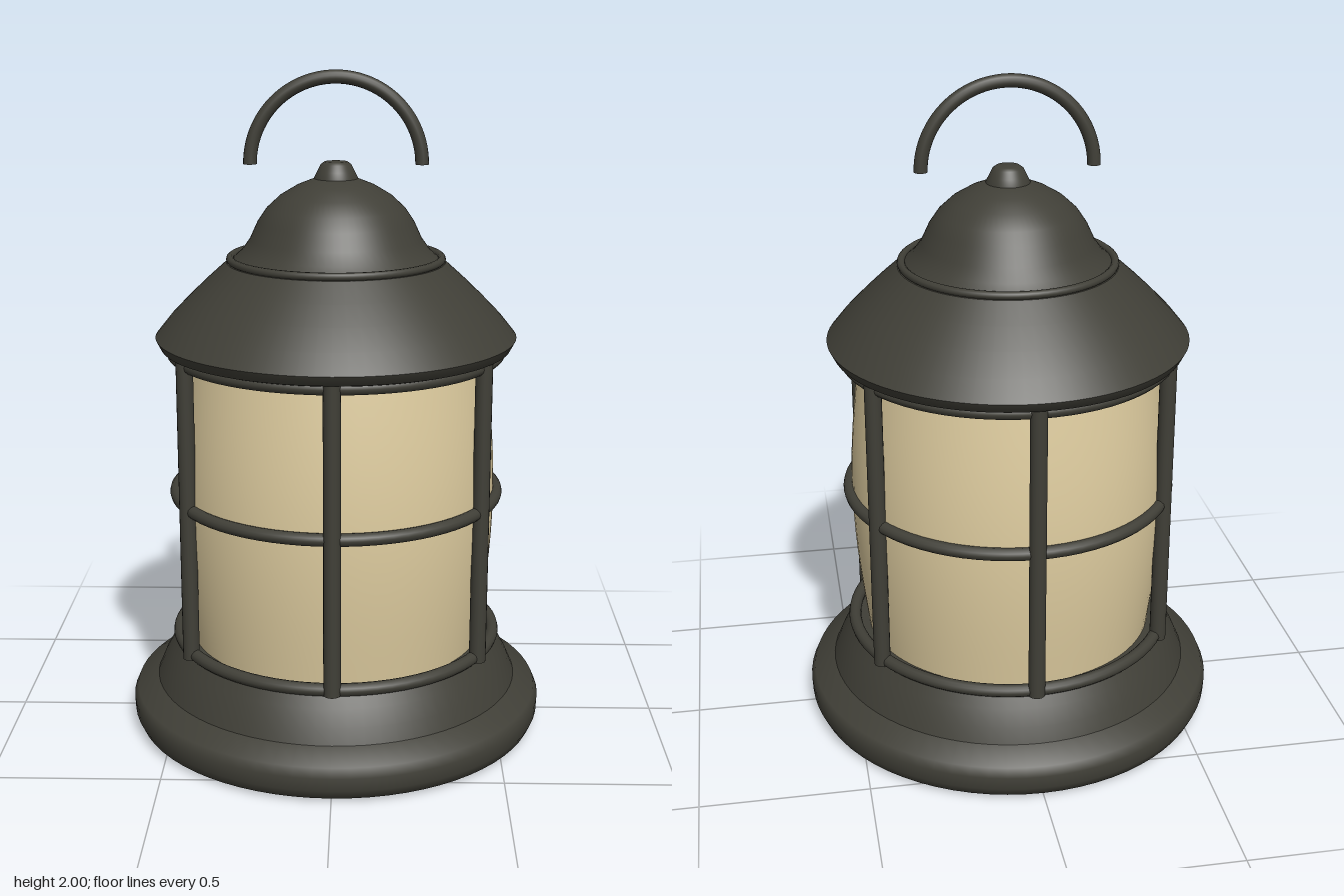
import * as THREE from 'three';

export function createModel() {
  const model = new THREE.Group();
  model.name = 'lantern';
  const iron = new THREE.MeshStandardMaterial({ color: 0x403f37 });
  iron.name = 'darkIron';
  const glassMat = new THREE.MeshStandardMaterial({ color: 0xdfcda0, side: THREE.DoubleSide });
  glassMat.name = 'warmGlass';

  const add = (name, geometry, material = iron, parent = model) => {
    const mesh = new THREE.Mesh(geometry, material);
    mesh.name = name;
    parent.add(mesh);
    return mesh;
  };
  // Profile runs from bottom to top; a repeated point makes a sharp edge
  const lathe = (profile) =>
    new THREE.LatheGeometry(profile.map(([x, y]) => new THREE.Vector2(x, y)), 72);

  // Flared foot
  add('base', lathe([
    [0, 0], [0.6, 0], [0.6, 0], [0.622, 0.012], [0.635, 0.04], [0.637, 0.08], [0.625, 0.108],
    [0.56, 0.143], [0.56, 0.143], [0.54, 0.19], [0.515, 0.235], [0.49, 0.275], [0.49, 0.275], [0, 0.285],
  ]));

  // Barrel-shaped glass
  const glassProfile = [];
  for (let i = 0; i <= 14; i++) {
    const t = i / 14;
    glassProfile.push([0.445 + 0.038 * Math.sin(Math.PI * t), 0.275 + 0.915 * t]);
  }
  add('glass', lathe(glassProfile), glassMat);

  // Cage: six uprights and three hoops
  const cage = new THREE.Group();
  cage.name = 'cage';
  model.add(cage);
  for (let i = 0; i < 6; i++) {
    const a = (i * Math.PI) / 3;
    const bar = add('cageBar', new THREE.CylinderGeometry(0.025, 0.025, 0.92, 16), iron, cage);
    bar.position.set(0.497 * Math.sin(a), 0.732, 0.497 * Math.cos(a));
  }
  for (const y of [0.285, 0.74, 1.177]) {
    const hoop = add('cageHoop', new THREE.TorusGeometry(0.49, 0.019, 12, 72), iron, cage);
    hoop.rotation.x = Math.PI / 2;
    hoop.position.y = y;
  }

  // Sloping lower roof
  add('roof', lathe([
    [0, 1.185], [0.5, 1.185], [0.525, 1.193], [0.54, 1.222], [0.54, 1.222],
    [0.495, 1.278], [0.44, 1.335], [0.385, 1.388], [0.325, 1.442], [0.325, 1.442], [0, 1.45],
  ]));
  const rim = add('roofRim', new THREE.TorusGeometry(0.314, 0.012, 10, 72));
  rim.rotation.x = Math.PI / 2;
  rim.position.y = 1.452;

  // Bell-shaped cap and its knob
  add('cap', lathe([
    [0.308, 1.45], [0.28, 1.475], [0.255, 1.51], [0.232, 1.56], [0.205, 1.6],
    [0.165, 1.637], [0.115, 1.667], [0.065, 1.687], [0, 1.695],
  ]));
  add('knob', lathe([
    [0.066, 1.672], [0.064, 1.69], [0.055, 1.708], [0.045, 1.728], [0.034, 1.736], [0, 1.738],
  ]));

  // Half-ring handle with closed ends
  const handle = new THREE.Group();
  handle.name = 'handle';
  handle.position.y = 1.728;
  model.add(handle);
  add('handleLoop', new THREE.TorusGeometry(0.252, 0.02, 14, 48, Math.PI), iron, handle);
  for (const side of [-1, 1]) {
    const end = add('handleEnd', new THREE.CircleGeometry(0.02, 14), iron, handle);
    end.rotation.x = Math.PI / 2;
    end.position.x = side * 0.252;
  }
  return model;
}
